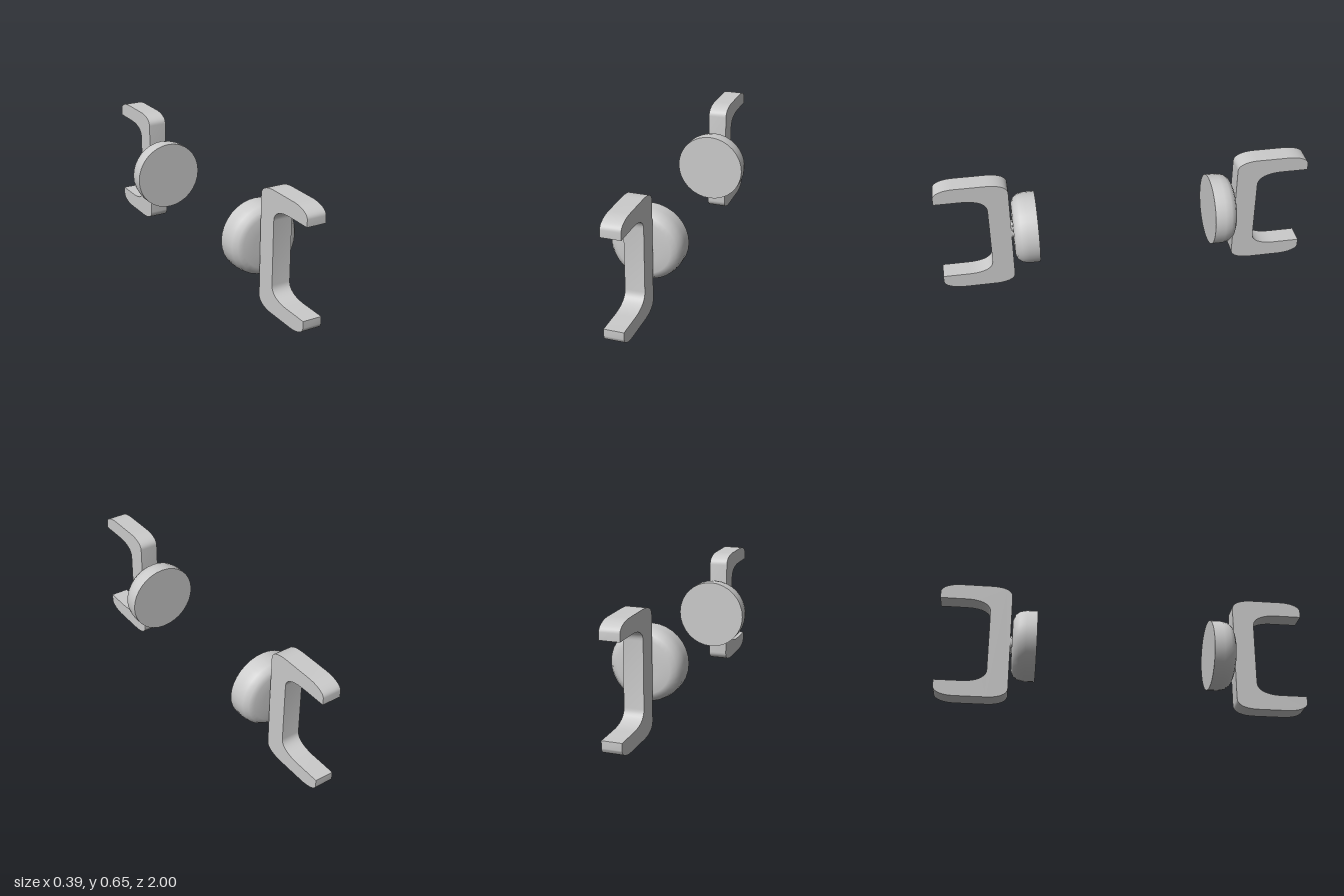
import * as THREE from 'three';
import { toCreasedNormals } from 'three/addons/utils/BufferGeometryUtils.js';

const MID = 0.327; // height of the knob axis
const WIDTH = 0.104; // bracket width

// C-shaped bracket profile, drawn with z along x
function bracketGeometry() {
  const s = new THREE.Shape();
  const top = 2 * MID, back = 0.612, inner = 0.727, arm = 0.086;
  s.moveTo(1, arm);
  s.lineTo(1, 0.048);
  s.bezierCurveTo(1, 0.02, 0.95, 0, 0.89, 0);
  s.lineTo(0.725, 0);
  s.bezierCurveTo(0.66, 0, back, 0.018, back, 0.055);
  s.lineTo(back, top - 0.055);
  s.bezierCurveTo(back, top - 0.018, 0.66, top, 0.725, top);
  s.lineTo(0.89, top);
  s.bezierCurveTo(0.95, top, 1, top - 0.02, 1, top - 0.048);
  s.lineTo(1, top - arm);
  s.lineTo(0.86, top - arm);
  s.bezierCurveTo(0.78, top - arm, inner, top - 0.11, inner, top - 0.155);
  s.lineTo(inner, 0.155);
  s.bezierCurveTo(inner, 0.11, 0.78, arm, 0.86, arm);
  s.closePath();
  const g = new THREE.ExtrudeGeometry(s, { depth: WIDTH, bevelEnabled: false, curveSegments: 10 });
  g.translate(0, 0, -WIDTH / 2);
  g.rotateY(-Math.PI / 2);
  return toCreasedNormals(g, 0.6);
}

// Rounded disc, turned about the z axis
function knobGeometry() {
  const profile = [
    [0.193, 0.473], [0.193, 0.53], [0.186, 0.565], [0.167, 0.59], [0.14, 0.602], [0.08, 0.605], [0, 0.606],
  ].map(([r, z]) => new THREE.Vector2(r, z));
  return new THREE.LatheGeometry(profile, 32).rotateX(Math.PI / 2);
}

export function createModel() {
  const model = new THREE.Group();
  const material = new THREE.MeshStandardMaterial({ color: 0xcccccc });

  const bracket = bracketGeometry();
  const knob = knobGeometry();
  const face = new THREE.CircleGeometry(0.193, 32).rotateY(Math.PI);
  const pin = new THREE.CylinderGeometry(0.05, 0.05, 0.03, 24).rotateX(Math.PI / 2);

  // Two identical hooks facing away from each other
  for (const [name, turn] of [['frontHook', 0], ['rearHook', Math.PI]]) {
    const hook = new THREE.Group();
    hook.name = name;
    const add = (part, geometry, y, z) => {
      const mesh = new THREE.Mesh(geometry, material);
      mesh.name = part;
      mesh.position.set(0, y, z);
      hook.add(mesh);
    };
    add('bracket', bracket, 0, 0);
    add('knob', knob, MID, 0);
    add('knobFace', face, MID, 0.473);
    add('pin', pin, MID, 0.605);
    hook.rotation.y = turn;
    model.add(hook);
  }
  return model;
}
